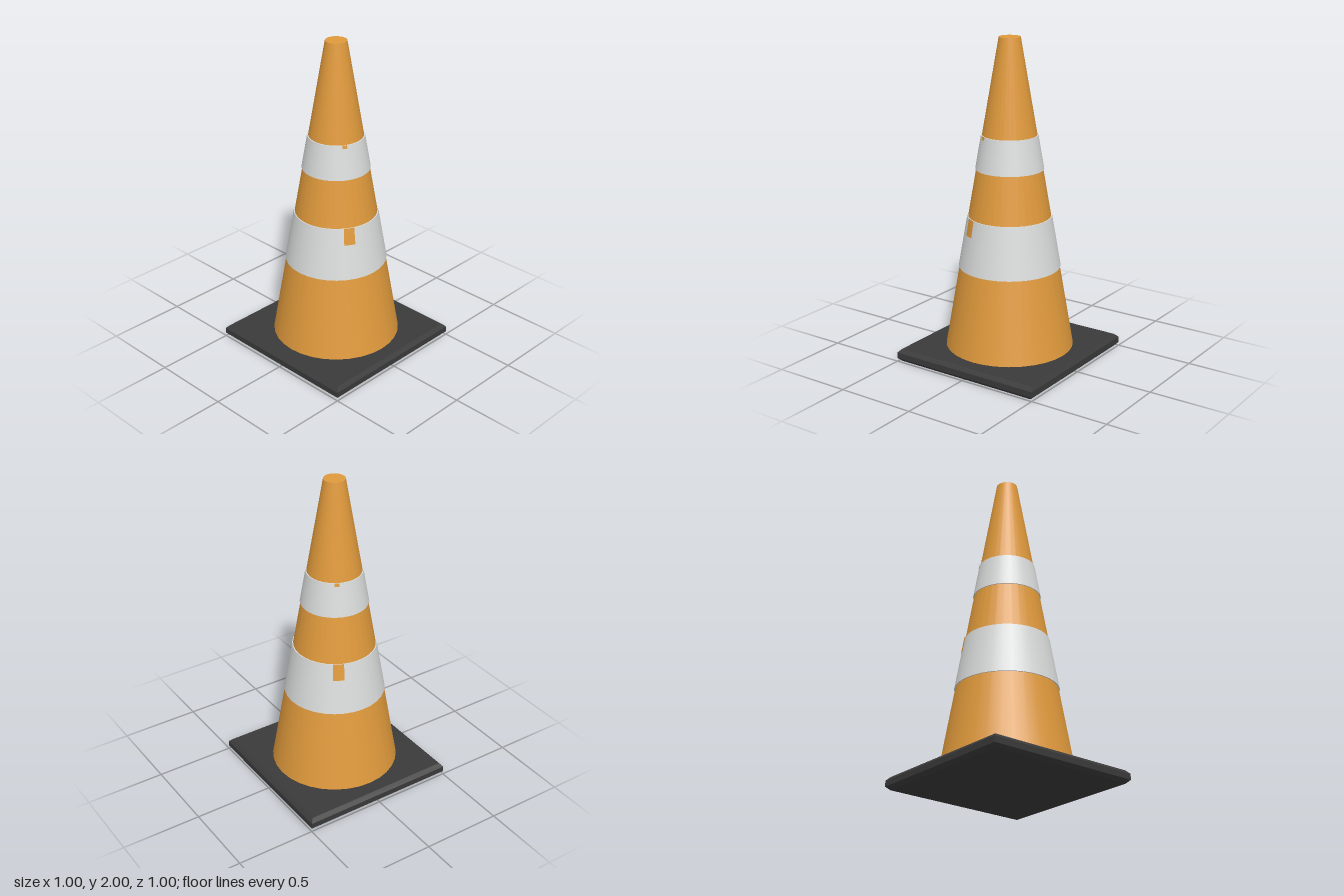
import * as THREE from 'three';

const SIDES = 32;
const Y0 = 0.08, Y1 = 2, R0 = 0.396, R1 = 0.065;

// cone radius at a given height
const coneRadius = (y) => R0 + (R1 - R0) * (y - Y0) / (Y1 - Y0);

export function createModel() {
  const group = new THREE.Group();
  const orange = new THREE.MeshStandardMaterial({ color: 0xe09a3c });
  const white = new THREE.MeshStandardMaterial({ color: 0xdadcdb });
  const black = new THREE.MeshStandardMaterial({ color: 0x3a3a3a });
  orange.name = 'orange plastic';
  white.name = 'white band';
  black.name = 'black rubber';

  const add = (name, geometry, material) => {
    const mesh = new THREE.Mesh(geometry, material);
    mesh.name = name;
    group.add(mesh);
  };

  // tapered ring section that follows the cone, raised by an offset
  const section = (y0, y1, offset, open = false, start = 0, length = Math.PI * 2, sides = SIDES) =>
    new THREE.CylinderGeometry(coneRadius(y1) + offset, coneRadius(y0) + offset, y1 - y0,
      sides, 1, open, start, length).translate(0, (y0 + y1) / 2, 0);

  // square base with bevelled edges
  const profile = [[0, 0], [0.478, 0], [0.5, 0.022], [0.5, 0.058], [0.478, 0.08], [0, 0.08]]
    .map(([x, y]) => new THREE.Vector2(x * Math.SQRT2, y));
  const base = new THREE.LatheGeometry(profile, 4).rotateY(Math.PI / 4).toNonIndexed();
  base.computeVertexNormals();
  add('base', base, black);

  // cone body
  add('cone', section(Y0 - 0.005, Y1, 0), orange);

  // reflective sleeves
  add('lowerBand', section(0.592, 0.912, 0.006), white);
  add('upperBand', section(1.205, 1.414, 0.006), white);

  // orange notches at the upper edge of the bands, on opposite sides
  for (const turn of [0, Math.PI]) {
    add('lowerBandNotch', section(0.81, 0.914, 0.0085, true, 0.95 + turn, 0.25, 3), orange);
    add('upperBandNotch', section(1.395, 1.416, 0.0085, true, 0.98 + turn, 0.17, 2), orange);
  }

  return group;
}
